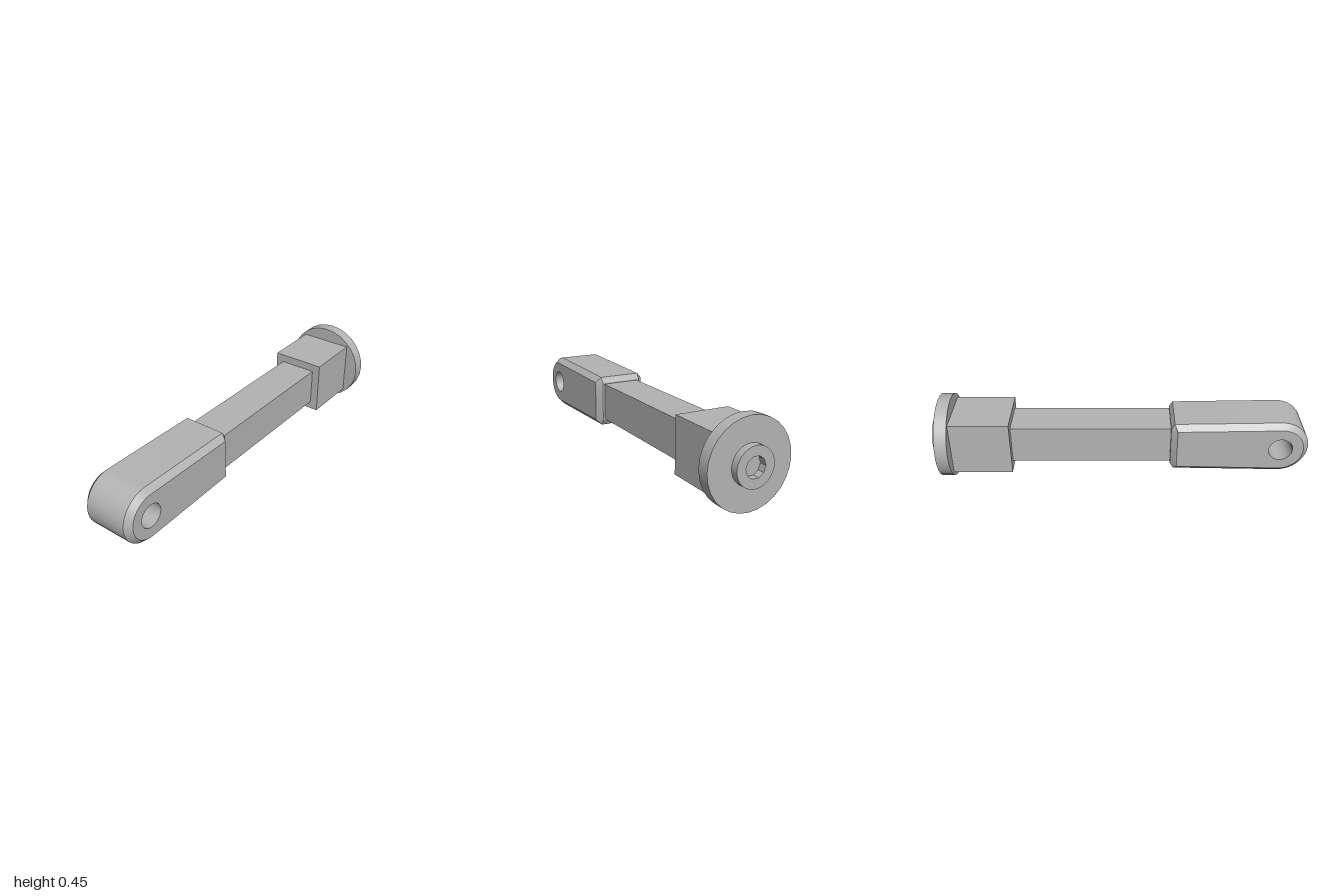
import * as THREE from 'three';
import { toCreasedNormals } from 'three/addons/utils/BufferGeometryUtils.js';

const AXIS_Y = 0.225;
const EYE_X = -0.85, HOLE_R = 0.063;

// Side outline of the eye end, counter-clockwise, shrunk by d
function eyeOutline(d) {
  const pts = [], n = 20, r = 0.15 - d;
  for (let i = 0; i <= n; i++) {
    const a = Math.PI / 2 + (Math.PI * i) / n;
    pts.push(new THREE.Vector2(EYE_X + r * Math.cos(a), r * Math.sin(a)));
  }
  const x1 = -0.288 - 0.5 * d, x2 = -0.27 - 1.1 * d;
  pts.push(new THREE.Vector2(x1, -0.14 + d), new THREE.Vector2(x2, -0.11 + d));
  pts.push(new THREE.Vector2(x2, 0.11 - d), new THREE.Vector2(x1, 0.14 - d));
  return pts;
}

// Skin through equal-length outlines placed along z
function loft(rings) {
  const pos = [], idx = [], n = rings[0].pts.length;
  rings.forEach(({ pts, z }) => pts.forEach((p) => pos.push(p.x, p.y, z)));
  for (let j = 0; j < rings.length - 1; j++) {
    for (let i = 0; i < n; i++) {
      const a = j * n + i, b = j * n + ((i + 1) % n);
      idx.push(a, b, b + n, a, b + n, a + n);
    }
  }
  const g = new THREE.BufferGeometry();
  g.setAttribute('position', new THREE.Float32BufferAttribute(pos, 3));
  g.setIndex(idx);
  return toCreasedNormals(g, 0.5);
}

export function createModel() {
  const model = new THREE.Group();
  model.name = 'eyeRod';
  const metal = new THREE.MeshStandardMaterial({ color: 0xb3b3b3, side: THREE.DoubleSide });
  metal.name = 'grey metal';

  const add = (name, geometry, x = 0, z = 0) => {
    const mesh = new THREE.Mesh(geometry, metal);
    mesh.name = name;
    mesh.position.set(x, AXIS_Y, z);
    model.add(mesh);
    return mesh;
  };

  // Chamfered eye end with a straight cross hole
  const D = 0.145, C = 0.03;
  const full = eyeOutline(0), inset = eyeOutline(C);
  add('eyeBody', loft([
    { pts: inset, z: -D }, { pts: full, z: -D + C },
    { pts: full, z: D - C }, { pts: inset, z: D },
  ]));
  const face = new THREE.Shape(inset);
  face.holes.push(new THREE.Path().absarc(EYE_X, 0, HOLE_R, 0, Math.PI * 2, true));
  for (const s of [-1, 1]) add(s > 0 ? 'eyeFrontFace' : 'eyeBackFace', new THREE.ShapeGeometry(face, 16), 0, s * D);
  const bore = new THREE.CylinderGeometry(HOLE_R, HOLE_R, 2 * D, 32, 1, true).rotateX(Math.PI / 2);
  add('eyeHole', bore, EYE_X);

  // Square rod and the larger square block
  add('rod', new THREE.BoxGeometry(0.87, 0.206, 0.206), 0.15);
  add('block', new THREE.BoxGeometry(0.317, 0.295, 0.295), 0.7365);

  // Round end flange
  add('flange', new THREE.CylinderGeometry(0.224, 0.224, 0.066, 28).rotateZ(-Math.PI / 2), 0.928);

  // Boss with a faceted socket, opening towards +x
  const ring = new THREE.Shape().absarc(0, 0, 0.1, 0, Math.PI * 2, false);
  const socket = [];
  for (let i = 0; i < 10; i++) {
    const a = (-i * Math.PI) / 5;
    socket.push(new THREE.Vector2(0.053 * Math.cos(a), 0.053 * Math.sin(a)));
  }
  ring.holes.push(new THREE.Path(socket));
  const boss = new THREE.ExtrudeGeometry(ring, { depth: 0.04, bevelEnabled: false, curveSegments: 20 });
  add('boss', toCreasedNormals(boss, 0.5).rotateY(Math.PI / 2), 0.96);

  return model;
}
